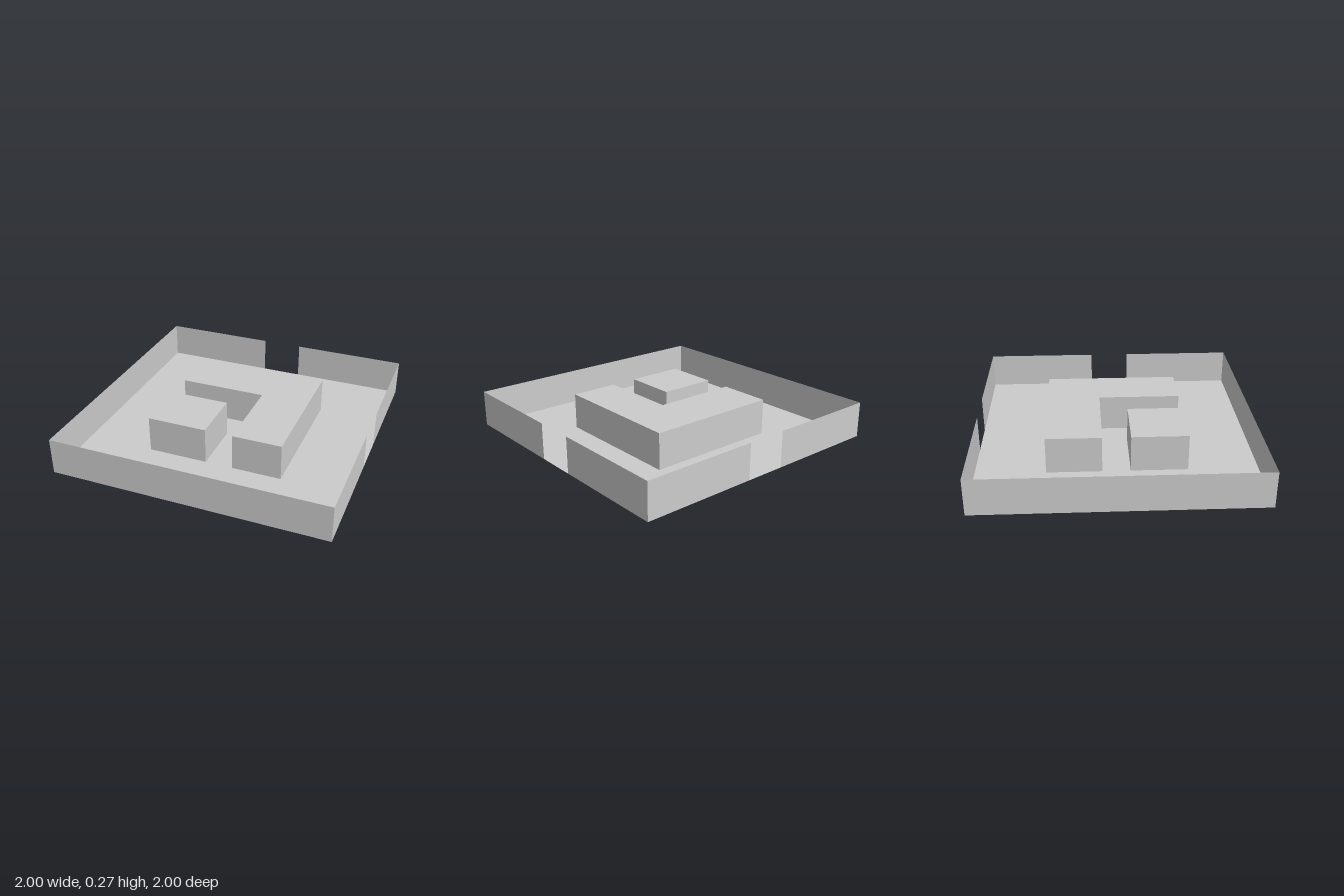
import * as THREE from 'three';
import { mergeGeometries } from 'three/addons/utils/BufferGeometryUtils.js';

const HEIGHT = 0.267;
const GATE = 0.152; // half width of each gateway

const material = new THREE.MeshStandardMaterial({ color: 0xcccccc, side: THREE.DoubleSide });

// Outlines are lists of [x, z], wound so that ribbons face outwards
const square = [[-1, 1], [1, 1], [1, -1], [-1, -1]];
const smallBlock = [[-0.5, 0.5], [-0.063, 0.5], [-0.063, 0.095], [-0.5, 0.095]];
const angledBlock = [[0.14, 0.5], [0.5, 0.5], [0.5, -0.5], [-0.5, -0.5], [-0.5, -0.106], [0.14, -0.106]];

// Two runs of wall, leaving gateways in the middle of the +x and -z sides
const longWall = [[-GATE, -1], [-1, -1], [-1, 1], [1, 1], [1, GATE]];
const cornerWall = [[1, -GATE], [1, -1], [GATE, -1]];

const toVectors = (points) => points.map(([x, z]) => new THREE.Vector2(x, -z));

// Flat horizontal sheet, facing up
function sheet(outline, y, holes = []) {
  const shape = new THREE.Shape(toVectors(outline));
  shape.holes = holes.map((h) => new THREE.Path(toVectors(h)));
  return new THREE.ShapeGeometry(shape).rotateX(-Math.PI / 2).translate(0, y, 0);
}

// Upright thin panel along each segment of a path
function ribbon(points, closed = false) {
  const panels = [];
  const count = closed ? points.length : points.length - 1;
  for (let i = 0; i < count; i++) {
    const [x0, z0] = points[i];
    const [x1, z1] = points[(i + 1) % points.length];
    panels.push(new THREE.PlaneGeometry(Math.hypot(x1 - x0, z1 - z0), HEIGHT)
      .rotateY(Math.atan2(z0 - z1, x1 - x0))
      .translate((x0 + x1) / 2, HEIGHT / 2, (z0 + z1) / 2));
  }
  return mergeGeometries(panels);
}

// Hollow block: sides and roof, open underneath
const block = (outline) => mergeGeometries([ribbon(outline, true), sheet(outline, HEIGHT)]);

export function createModel() {
  const model = new THREE.Group();
  model.name = 'walledCourtyard';
  const add = (name, geometry) => {
    const mesh = new THREE.Mesh(geometry, material);
    mesh.name = name;
    model.add(mesh);
  };

  // Ground sheet, cut away below the blocks
  add('floor', sheet(square, 0, [smallBlock, angledBlock]));

  // Perimeter
  add('longWall', ribbon(longWall));
  add('cornerWall', ribbon(cornerWall));

  // Blocks inside the courtyard
  add('smallBlock', block(smallBlock));
  add('angledBlock', block(angledBlock));

  return model;
}
